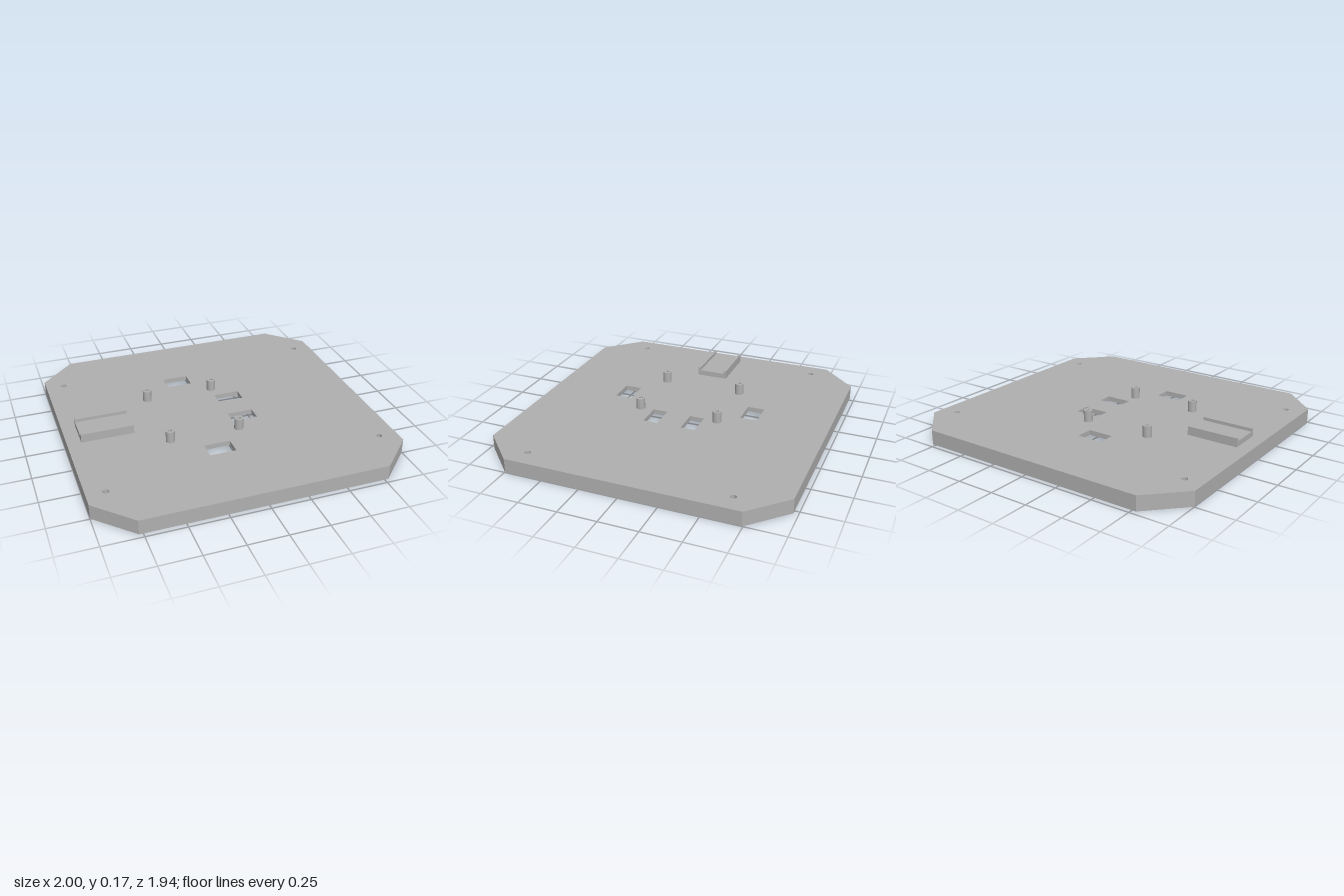
import * as THREE from 'three';
import { toCreasedNormals } from 'three/addons/utils/BufferGeometryUtils.js';

const HALF_X = 1, HALF_Z = 0.97, CHAMFER = 0.225;
const TOP = 0.095, PLATE = 0.032, WALL = 0.029;

// Points of the corner-cut outline, moved inward by t
function outline(t) {
  const w = HALF_X - t, d = HALF_Z - t, c = CHAMFER - t * (2 - Math.SQRT2);
  return [
    [w - c, -d], [w, -d + c], [w, d - c], [w - c, d],
    [-w + c, d], [-w, d - c], [-w, -d + c], [-w + c, -d],
  ].map(([x, y]) => new THREE.Vector2(x, y));
}

function circle(x, z, r) {
  return new THREE.Path().absarc(x, -z, r, 0, Math.PI * 2, true);
}

function rectangle(x0, x1, z0, z1) {
  return new THREE.Path([[x0, -z0], [x1, -z0], [x1, -z1], [x0, -z1]]
    .map(([x, y]) => new THREE.Vector2(x, y)));
}

// Extrude a plan shape (y = -z) upward from y0 to y1
function extrudeUp(shape, y0, y1) {
  const geo = new THREE.ExtrudeGeometry(shape, { depth: y1 - y0, bevelEnabled: false, curveSegments: 16 });
  geo.rotateX(-Math.PI / 2).translate(0, y0, 0);
  return toCreasedNormals(geo, 0.6);
}

export function createModel() {
  const group = new THREE.Group();
  const grey = new THREE.MeshStandardMaterial({ color: 0xb0b0b0 });
  grey.name = 'grey plastic';

  const add = (name, geo) => {
    const mesh = new THREE.Mesh(geo, grey);
    mesh.name = name;
    group.add(mesh);
    return mesh;
  };

  // Top plate with corner screw holes and cable windows
  const plate = new THREE.Shape(outline(0));
  for (const sx of [-1, 1]) for (const sz of [-1, 1]) {
    plate.holes.push(circle(sx * 0.88, sz * 0.653, 0.019));
  }
  for (const s of [-1, 1]) {
    plate.holes.push(rectangle(-0.2, -0.03, s * 0.394, s * 0.506));
    plate.holes.push(rectangle(0.07, 0.24, s * 0.082, s * 0.178));
  }
  add('topPlate', extrudeUp(plate, TOP - PLATE, TOP));

  // Skirt wall around the open underside
  const skirt = new THREE.Shape(outline(0));
  skirt.holes.push(new THREE.Path(outline(WALL)));
  add('skirtWall', extrudeUp(skirt, 0, TOP - PLATE));

  // Hollow standoffs
  const ring = new THREE.Shape().absarc(0, 0, 0.029, 0, Math.PI * 2, false);
  ring.holes.push(circle(0, 0, 0.012));
  const standoff = extrudeUp(ring, 0, 0.075);
  for (const x of [-0.38, 0.077]) for (const z of [-0.27, 0.27]) {
    add('standoff', standoff).position.set(x, TOP, z);
  }

  // U-shaped tray running along x
  const profile = new THREE.Shape([
    [-0.105, 0], [0.105, 0], [0.105, 0.057], [0.087, 0.057],
    [0.087, 0.036], [-0.087, 0.036], [-0.087, 0.057], [-0.105, 0.057],
  ].map(([x, y]) => new THREE.Vector2(x, y)));
  const tray = new THREE.ExtrudeGeometry(profile, { depth: 0.34, bevelEnabled: false });
  tray.rotateY(Math.PI / 2);
  add('tray', tray).position.set(-0.91, TOP, 0);

  return group;
}
